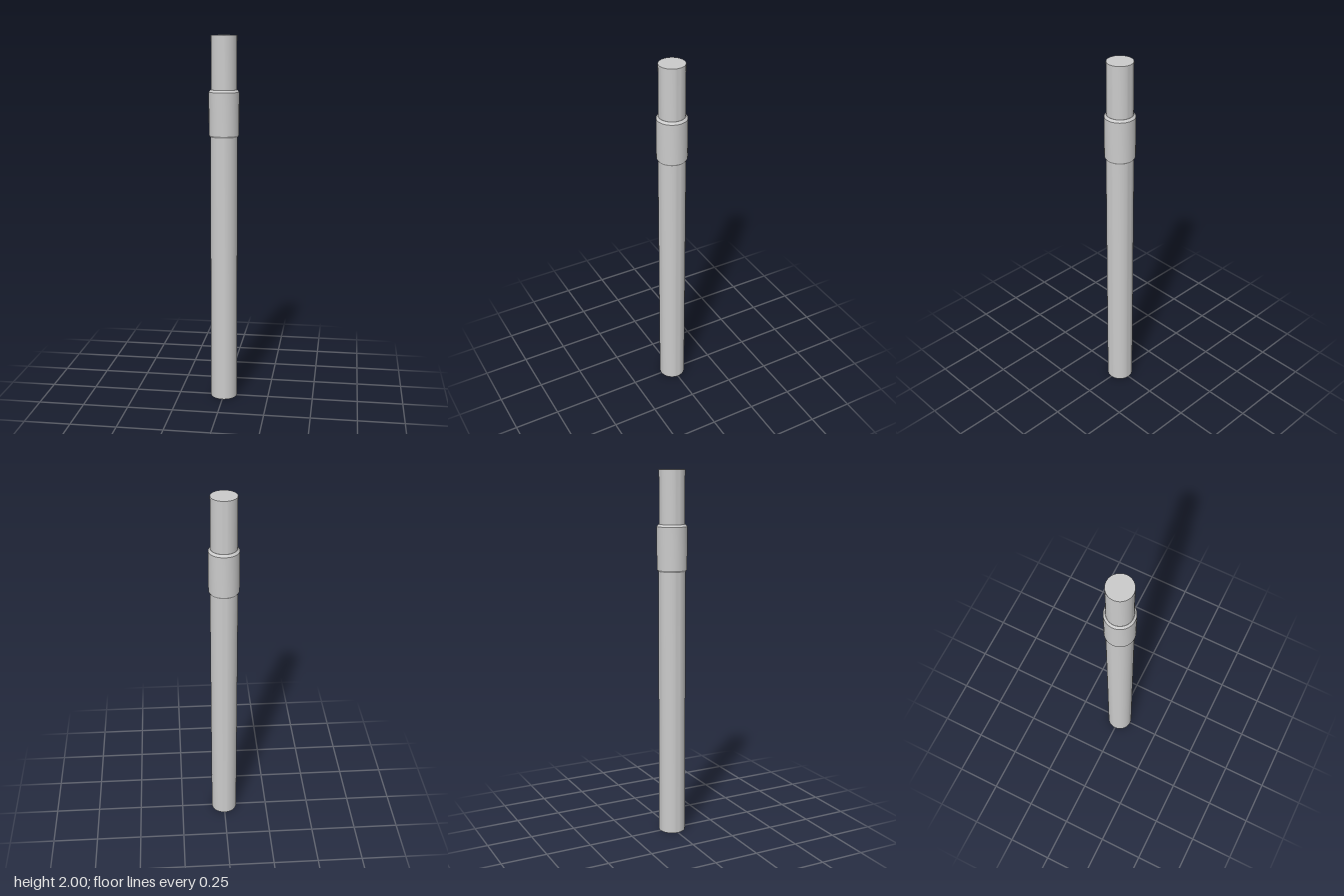
import * as THREE from 'three';
import { toCreasedNormals } from 'three/addons/utils/BufferGeometryUtils.js';

const SIDES = 48;

export function createModel() {
  const model = new THREE.Group();
  model.name = 'telescopicPole';
  const material = new THREE.MeshStandardMaterial({ color: 0xcccccc });

  // Turns a [radius, height] profile into a solid with crisp edges
  const addTurned = (name, profile) => {
    const points = profile.map(([r, y]) => new THREE.Vector2(r, y));
    const geometry = toCreasedNormals(new THREE.LatheGeometry(points, SIDES), 0.4);
    const mesh = new THREE.Mesh(geometry, material);
    mesh.name = name;
    model.add(mesh);
  };

  // Long outer tube, closed at the foot
  addTurned('lowerTube', [[0, 0], [0.073, 0], [0.073, 1.5], [0, 1.5]]);

  // Slimmer inner tube sliding out of the collar
  addTurned('upperTube', [[0, 1.6], [0.069, 1.6], [0.069, 2], [0, 2]]);

  // Locking collar with chamfered rims
  addTurned('collar', [
    [0.069, 1.468], [0.074, 1.468], [0.081, 1.479],
    [0.081, 1.706], [0.07, 1.718], [0.066, 1.718],
  ]);

  return model;
}
